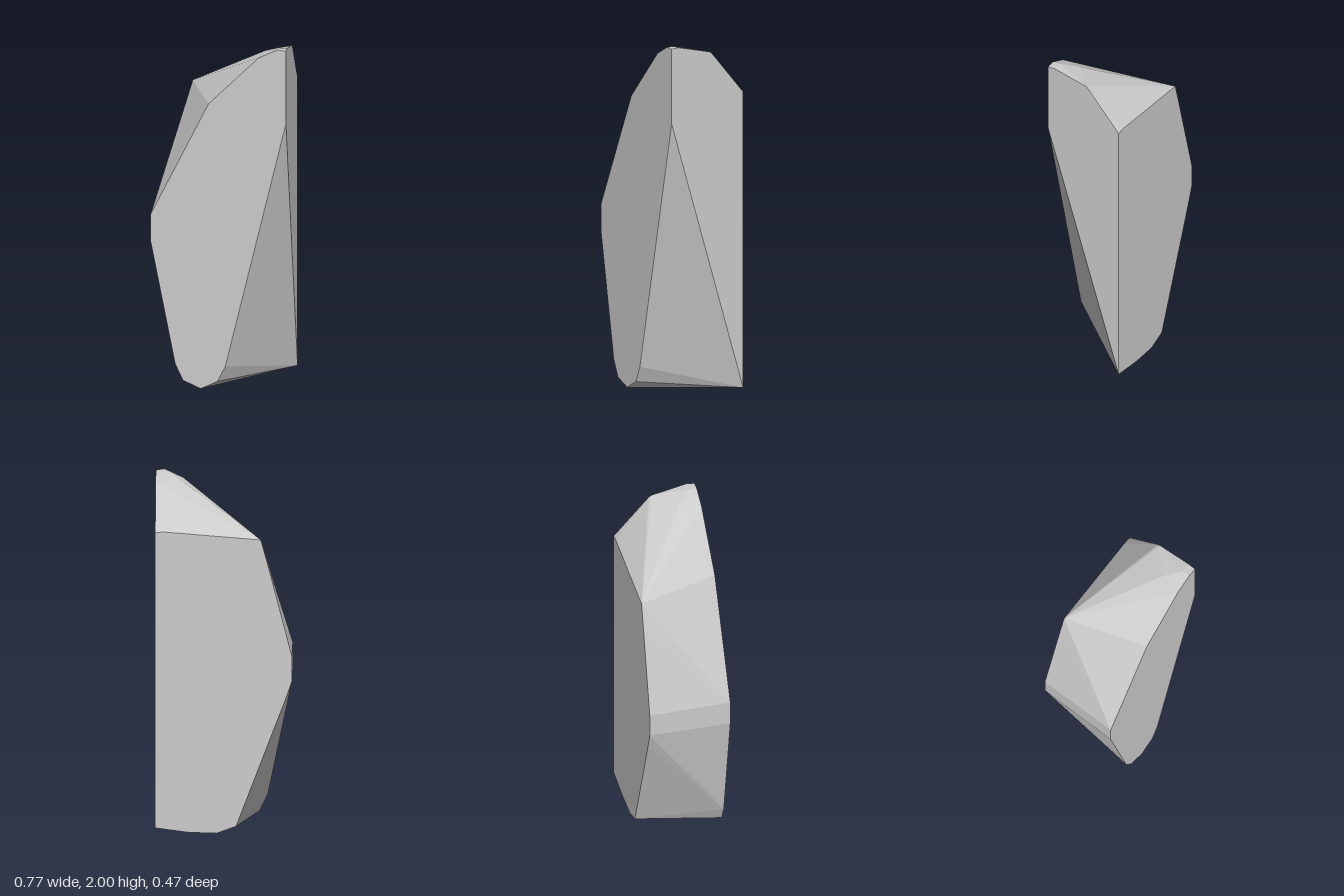
import * as THREE from 'three';
import { ConvexGeometry } from 'three/addons/geometries/ConvexGeometry.js';

export function createModel() {
  const group = new THREE.Group();
  group.name = 'rockShard';
  const D = 0.235; // half depth
  const X = 0.385; // half width

  // Outline of the flat front face (x, y)
  const front = [
    [-X, 1.01], [-X, 0.86], [-0.245, 0.145], [-0.2, 0.05], [-0.1, 0.005],
    [-0.005, 0.05], [0.04, 0.14], [X, 1.57], [X, 1.995], [0.335, 2.0],
    [0.23, 1.95], [-0.055, 1.67],
  ];
  // Outline of the flat back face (x, y)
  const back = [
    [X, 0.03], [0.2, 0.005], [0.04, 0], [-0.07, 0.04], [-0.35, 0.77],
    [-X, 0.87], [-X, 1.01], [-0.25, 1.53], [-0.21, 1.675], [0.34, 1.72], [X, 1.715],
  ];
  // Corners of the chipped top between both faces (x, y, z)
  const crown = [
    [X, 2.0, 0.19], [0.33, 2.0, 0.19], [0.25, 1.96, 0.11],
    [X, 1.96, -0.015], [X, 1.95, -0.03],
  ];

  const points = [
    ...front.map(([x, y]) => new THREE.Vector3(x, y, D)),
    ...back.map(([x, y]) => new THREE.Vector3(x, y, -D)),
    ...crown.map((p) => new THREE.Vector3(...p)),
  ];

  // Faceted convex stone
  const rock = new THREE.Mesh(
    new ConvexGeometry(points),
    new THREE.MeshStandardMaterial({ color: 0xcccccc, flatShading: true })
  );
  rock.name = 'rock';
  group.add(rock);
  return group;
}
